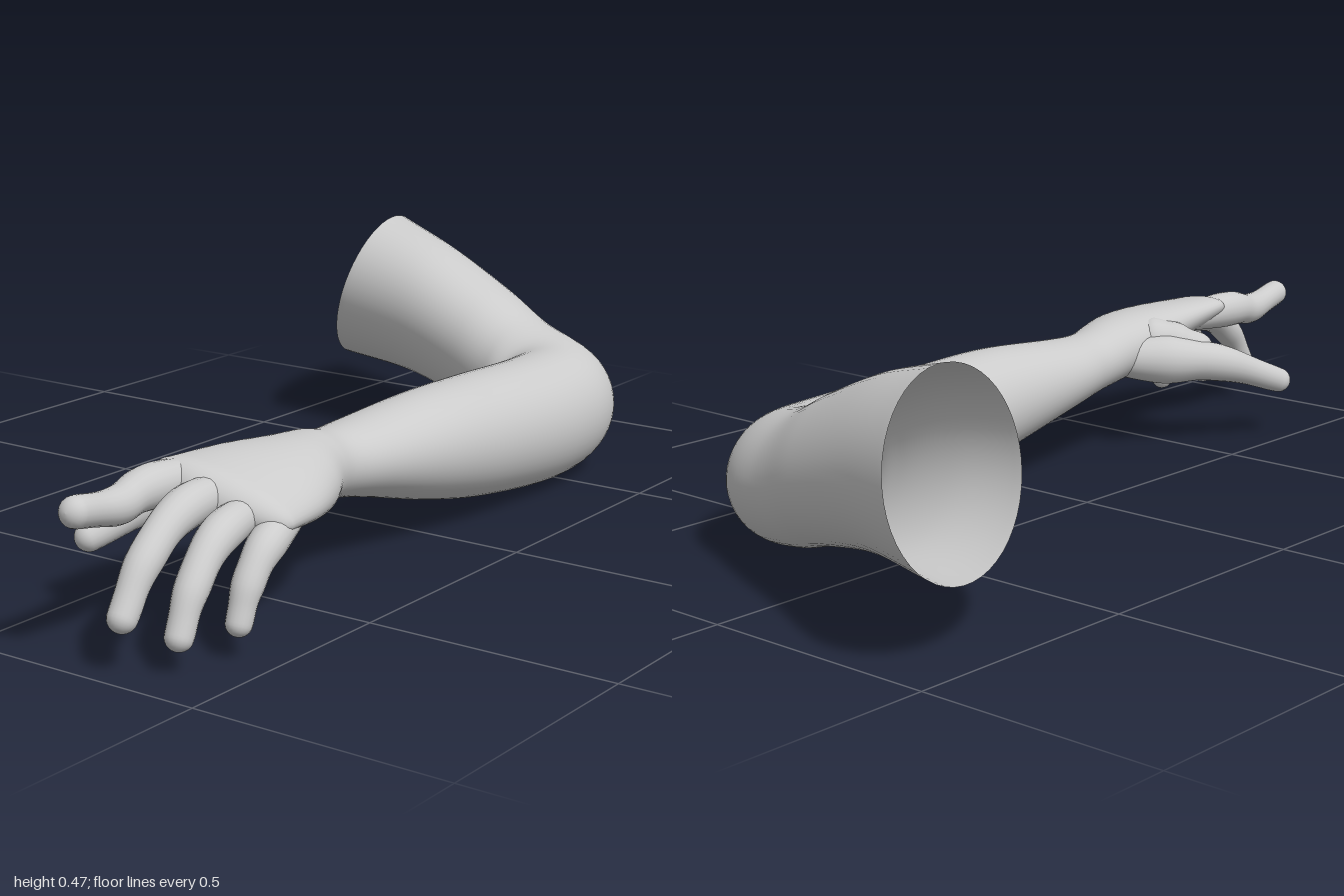
import * as THREE from 'three';

const V = (x, y, z) => new THREE.Vector3(x, y, z);
const material = new THREE.MeshStandardMaterial({ color: 0xcccccc, side: THREE.DoubleSide });
const curve = (points) => new THREE.CatmullRomCurve3(points, false, 'catmullrom', 0.5);

// Skin a smooth tube over rings, each given as { c: centre, u, v: half axes }
function loft(name, rings, sides) {
  const pos = [], index = [];
  for (const { c, u, v } of rings)
    for (let j = 0; j < sides; j++) {
      const a = (j / sides) * Math.PI * 2;
      const p = c.clone().addScaledVector(u, Math.cos(a)).addScaledVector(v, Math.sin(a));
      pos.push(p.x, p.y, p.z);
    }
  for (let i = 0; i < rings.length - 1; i++)
    for (let j = 0; j < sides; j++) {
      const a = i * sides + j, b = i * sides + ((j + 1) % sides);
      index.push(a, a + sides, b, b, a + sides, b + sides);
    }
  const geo = new THREE.BufferGeometry();
  geo.setAttribute('position', new THREE.Float32BufferAttribute(pos, 3));
  geo.setIndex(index);
  geo.computeVertexNormals();
  const mesh = new THREE.Mesh(geo, material);
  mesh.name = name;
  return mesh;
}

// Close the last ring with a rounded end of the given depth
function addDome(rings, direction, depth) {
  const { c, u, v } = rings[rings.length - 1];
  for (let k = 1; k <= 7; k++) {
    const a = (k / 7) * Math.PI / 2, s = Math.max(Math.cos(a), 0.001);
    rings.push({
      c: c.clone().addScaledVector(direction, depth * Math.sin(a)),
      u: u.clone().multiplyScalar(s), v: v.clone().multiplyScalar(s),
    });
  }
}

// Arm sections: x, y, z, half width, half height, then turn, tilt and lean
function armRings(rows, count) {
  const centre = curve(rows.map(([x, y, z]) => V(x, y, z)));
  const size = curve(rows.map((r) => V(r[3], r[4], 0)));
  const angle = curve(rows.map(([, , , , , turn = 0, tilt = 0, lean = tilt]) => V(turn, tilt, lean)));
  return Array.from({ length: count + 1 }, (_, i) => {
    const t = i / count;
    const { x: w, y: h } = size.getPoint(t);
    const { x: turn, y: tilt, z: lean } = angle.getPoint(t);
    return {
      c: centre.getPoint(t),
      u: V(-Math.cos(turn), tilt, Math.sin(turn)).multiplyScalar(w),
      v: V(lean, 1, 0).multiplyScalar(h),
    };
  });
}

// A digit along a curve: slim buried root, taper from r0 to r1, slight swelling at the joints
function digit(name, points, r0, r1) {
  const path = curve(points.map((p) => V(...p)));
  const rings = Array.from({ length: 37 }, (_, i) => {
    const t = i / 36, T = path.getTangent(t);
    const root = 1 - 0.6 * Math.max(0, 1 - 3 * t) ** 2;
    const r = (r0 + (r1 - r0) * t) * root * (1 + 0.03 * Math.cos(6 * Math.PI * t));
    const u = V(-1, 0, 0).addScaledVector(T, T.x).normalize();
    const v = u.clone().cross(T);
    return { c: path.getPoint(t), u: u.multiplyScalar(r), v: v.multiplyScalar(r) };
  });
  addDome(rings, path.getTangent(1), r1);
  return loft(name, rings, 20);
}

export function createModel() {
  const group = new THREE.Group();
  group.name = 'arm';

  // Open upper arm and elbow bend
  const upperArm = [
    [-0.38, 0.303, -0.79, 0.216, 0.172, 1.8, 0.1, 0.34],
    [-0.18, 0.275, -0.733, 0.182, 0.152, 1.75, 0.1, 0.24],
    [0, 0.223, -0.685, 0.157, 0.138, 1.64, 0.1, 0.18],
    [0.12, 0.177, -0.645, 0.14, 0.132, 1.43, 0.12, 0.15],
    [0.23, 0.147, -0.587, 0.139, 0.134, 0.8, 0.1],
  ];
  // Forearm to wrist
  const forearm = [
    [0.26, 0.14, -0.45, 0.131, 0.137, 0.15, 0.02],
    [0.265, 0.158, -0.2, 0.125, 0.128],
    [0.268, 0.18, 0, 0.113, 0.11],
    [0.258, 0.2, 0.2, 0.093, 0.078],
    [0.257, 0.209, 0.29, 0.079, 0.068],
  ];
  // Palm, tilted so that the index side is higher
  const palm = [
    [0.264, 0.22, 0.36, 0.085, 0.07, 0, 0.06],
    [0.285, 0.225, 0.44, 0.103, 0.07, 0, 0.2],
    [0.30, 0.237, 0.54, 0.12, 0.057, 0.08, 0.29],
    [0.309, 0.247, 0.67, 0.132, 0.04, 0.2, 0.32],
  ];
  const rings = armRings([...upperArm, ...forearm, ...palm], 128);
  addDome(rings, V(0, -0.1, 1), 0.05);
  group.add(loft('armAndPalm', rings, 48));

  // Fingers: two joints and a tip each, rooted in a slanting row inside the palm
  const fingers = {
    indexFinger: [[0.213, 0.266, 0.76], [0.215, 0.254, 0.85], [0.226, 0.273, 0.965]],
    middleFinger: [[0.293, 0.242, 0.76], [0.302, 0.18, 0.88], [0.307, 0.098, 0.945]],
    ringFinger: [[0.366, 0.208, 0.755], [0.38, 0.14, 0.85], [0.386, 0.066, 0.893]],
    littleFinger: [[0.413, 0.18, 0.688], [0.419, 0.125, 0.748], [0.421, 0.064, 0.776]],
  };
  Object.entries(fingers).forEach(([name, joints], k) => {
    const root = [0.24 + 0.048 * k, 0.263 - 0.018 * k, 0.55];
    group.add(digit(name, [root, ...joints], 0.045 - 0.002 * k, 0.028 - 0.0015 * k));
  });

  // Thumb and the web joining it to the index side of the palm
  const thumb = [[0.25, 0.21, 0.365], [0.16, 0.2, 0.48], [0.09, 0.184, 0.58], [0.032, 0.13, 0.717]];
  group.add(digit('thumb', thumb, 0.066, 0.027));
  const web = [[0.255, 0.235, 0.44], [0.195, 0.232, 0.5], [0.145, 0.212, 0.548]];
  group.add(digit('thumbWeb', web, 0.06, 0.042));

  return group;
}
